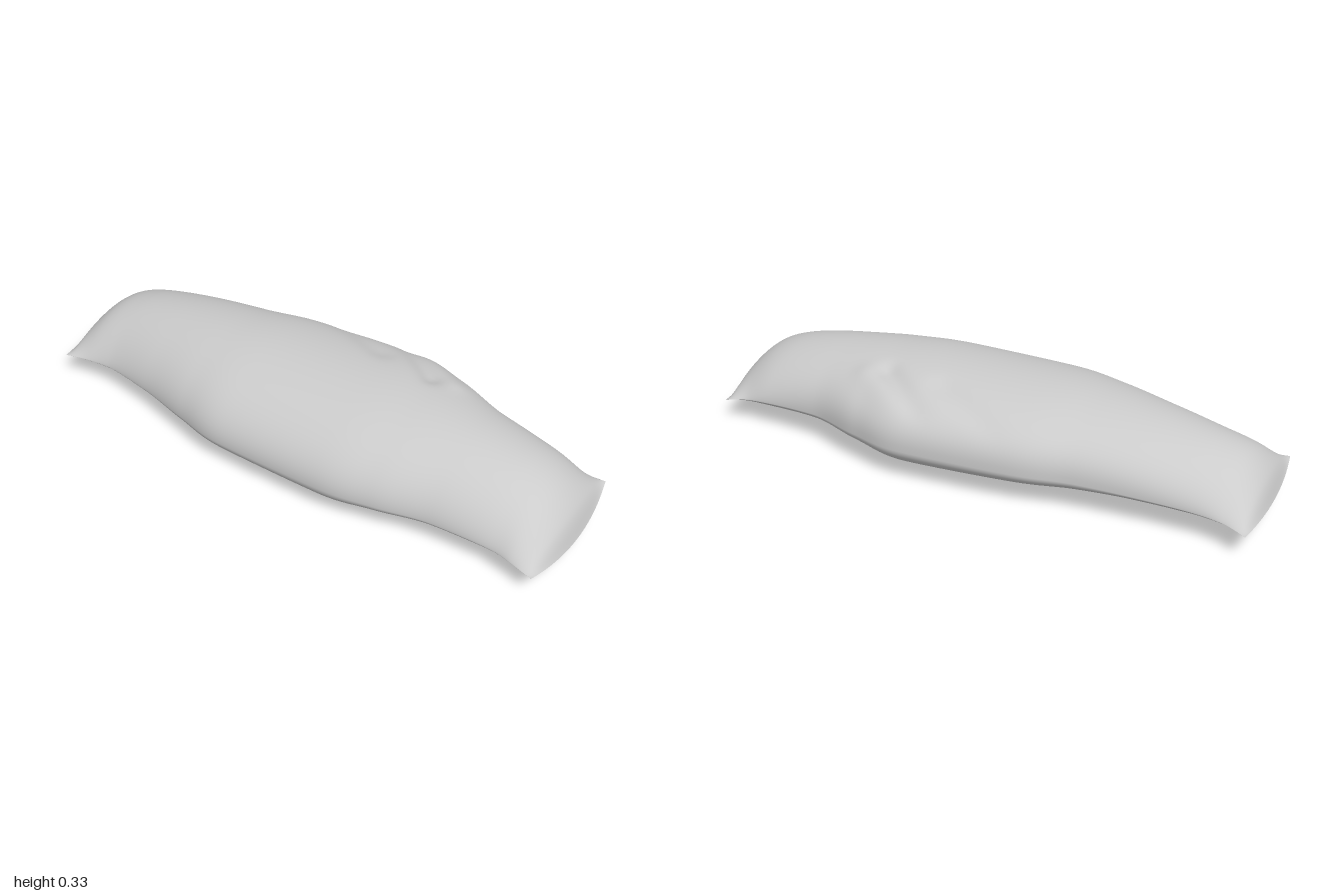
import * as THREE from 'three';

// Cross-sections along the length: x, back z, front z, top y, bottom y
const SECTIONS = [
  [-1, -0.31, 0.22, 0.085, 0.085],
  [-0.975, -0.3, 0.215, 0.15, 0.058],
  [-0.9, -0.28, 0.205, 0.222, 0.038],
  [-0.8, -0.275, 0.2, 0.257, 0.047],
  [-0.6, -0.285, 0.235, 0.292, 0.053],
  [-0.4, -0.3, 0.29, 0.313, 0.036],
  [-0.2, -0.335, 0.335, 0.325, 0.018],
  [0.2, -0.355, 0.345, 0.33, 0],
  [0.4, -0.31, 0.32, 0.322, 0.028],
  [0.6, -0.24, 0.28, 0.302, 0.045],
  [0.8, -0.22, 0.272, 0.262, 0.03],
  [0.9, -0.215, 0.285, 0.215, 0.024],
  [0.975, -0.225, 0.298, 0.135, 0.037],
  [1, -0.23, 0.302, 0.06, 0.06],
];

// Soft folds on the upper face: x0, z0, x1, z1, width, height
const FOLDS = [
  [0.16, -0.3, 0.34, -0.15, 0.035, -0.02],
  [0.24, -0.33, 0.42, -0.18, 0.04, 0.012],
  [-0.1, -0.3, 0.12, -0.18, 0.04, -0.014],
];

// Smooth interpolation of one section value, without overshoot
function sample(t, k) {
  const n = SECTIONS.length - 1;
  const i = Math.min(Math.floor(t), n - 1), f = t - i;
  const v = (j) => SECTIONS[j][k];
  const slope = (j) => {
    if (j === 0) return v(1) - v(0);
    if (j === n) return v(n) - v(n - 1);
    const a = v(j) - v(j - 1), b = v(j + 1) - v(j);
    return a * b <= 0 ? 0 : (2 * a * b) / (a + b);
  };
  const f2 = f * f, f3 = f2 * f;
  return (2 * f3 - 3 * f2 + 1) * v(i) + (f3 - 2 * f2 + f) * slope(i)
    + (3 * f2 - 2 * f3) * v(i + 1) + (f3 - f2) * slope(i + 1);
}

function foldOffset(x, z) {
  let sum = 0;
  for (const [x0, z0, x1, z1, width, height] of FOLDS) {
    const dx = x1 - x0, dz = z1 - z0;
    const s = THREE.MathUtils.clamp(((x - x0) * dx + (z - z0) * dz) / (dx * dx + dz * dz), 0, 1);
    const d = Math.hypot(x - x0 - s * dx, z - z0 - s * dz);
    sum += height * Math.exp(-((d / width) ** 2));
  }
  return sum;
}

function cushionGeometry(steps = 156, around = 96) {
  const pos = [], index = [];
  for (let i = 0; i <= steps; i++) {
    const t = (i / steps) * (SECTIONS.length - 1);
    const [x, zBack, zFront, top, bottom] = SECTIONS[0].map((_, k) => sample(t, k));
    const endness = THREE.MathUtils.smoothstep(Math.abs(x), 0.8, 1);

    // Seam heights droop toward the ends
    const droop = Math.abs(x) ** 3;
    const seamBack = 0.13 - 0.04 * droop;
    const seamFront = 0.11 - (0.0225 + 0.0075 * x) * droop;
    const seamMid = 0.12 - (0.0475 + 0.0125 * x) * droop;
    // Rounded in the middle, pinched at the corners
    const roundness = 0.5 + 0.5 * x ** 4;

    for (let j = 0; j < around; j++) {
      const a = (j / around) * Math.PI * 2;
      const u = Math.cos(a), s = Math.sin(a), upper = s > 0;
      // The rear upper shoulder is fuller than the front one
      const e = upper && u < 0 ? roundness + 0.1 * u * (1 - endness) : roundness;
      const dome = Math.abs(s) ** (2 * e);
      const side = (u + 1) / 2;
      const z = THREE.MathUtils.lerp(zBack, zFront, side);
      const sag = (seamMid - (seamBack + seamFront) / 2) * (1 - u * u);
      let y = THREE.MathUtils.lerp(seamBack, seamFront, side) + sag;
      y += ((upper ? top : bottom) - seamMid) * dome;
      if (upper) y += foldOffset(x, z) * s * s * (1 - endness);
      // Corners sit slightly inside the bulging end seam
      const px = x * (1 - (x > 0 ? 0.032 : 0.022) * u * u * endness);
      pos.push(px, Math.max(0, y), z);
      if (i < steps) {
        const p = i * around + j, q = i * around + ((j + 1) % around);
        index.push(p, p + around, q, q, p + around, q + around);
      }
    }
  }
  const geometry = new THREE.BufferGeometry();
  geometry.setAttribute('position', new THREE.Float32BufferAttribute(pos, 3));
  geometry.setIndex(index);
  geometry.computeVertexNormals();
  return geometry;
}

export function createModel() {
  const group = new THREE.Group();
  group.name = 'pillow';
  const material = new THREE.MeshStandardMaterial({ color: 0xcccccc });
  const cushion = new THREE.Mesh(cushionGeometry(), material);
  cushion.name = 'cushion';
  group.add(cushion);
  return group;
}
